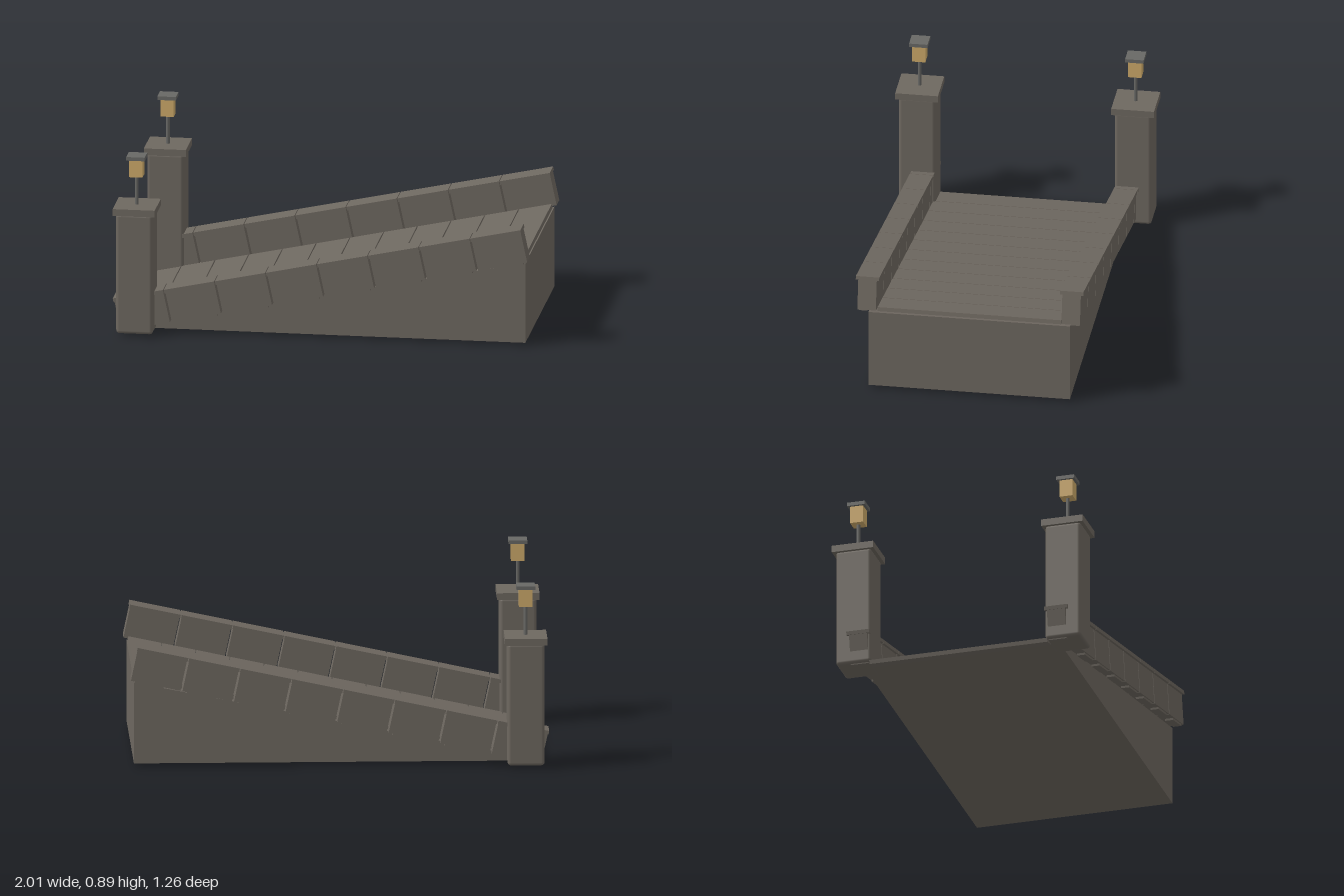
import * as THREE from 'three';
import { RoundedBoxGeometry } from 'three/addons/geometries/RoundedBoxGeometry.js';

export function createModel() {
  const model = new THREE.Group();
  model.name = 'stoneRamp';
  const material = (name, color) => {
    const m = new THREE.MeshStandardMaterial({ color });
    m.name = name;
    return m;
  };
  const stone = material('stone', 0x6e6860);
  const iron = material('iron', 0x686865);
  const glass = material('lanternGlass', 0xcdaa6a);

  const add = (parent, name, geometry, mat, x = 0, y = 0, z = 0) => {
    const mesh = new THREE.Mesh(geometry, mat);
    mesh.name = name;
    mesh.position.set(x, y, z);
    parent.add(mesh);
    return mesh;
  };
  const box = (w, h, d) => new THREE.BoxGeometry(w, h, d);

  // Solid wedge under the deck
  const profile = new THREE.Shape([
    new THREE.Vector2(-0.98, 0.014),
    new THREE.Vector2(0.984, 0.014),
    new THREE.Vector2(0.984, 0.412),
  ]);
  const wedge = new THREE.ExtrudeGeometry(profile, { depth: 0.98, bevelEnabled: false });
  add(model, 'base', wedge, stone, 0, 0, -0.49);

  // Everything that follows the slope
  const slope = new THREE.Group();
  slope.name = 'slope';
  slope.position.y = 0.217;
  slope.rotation.z = 0.211;
  model.add(slope);

  // Deck slabs
  const slabPitch = 0.1675;
  for (let i = 0; i < 12; i++) {
    add(slope, 'deckSlab', box(slabPitch - 0.006, 0.02, 0.892), stone, (i - 5.5) * slabPitch, 0.002);
  }

  // Parapets: blocks, coping stones and the ledges beneath
  const pitch = 0.2535;
  for (const side of [-1, 1]) {
    for (let i = 0; i < 8; i++) {
      const x = 0.014 + (i - 3.5) * pitch;
      const z = side * 0.496;
      add(slope, 'parapetBlock', box(pitch - 0.01, 0.15, 0.09), stone, x, 0.075, z);
      add(slope, 'parapetCoping', box(pitch - 0.004, 0.018, 0.114), stone, x, 0.158, z);
      if (i > 0) add(slope, 'parapetLedge', box(0.14, 0.012, 0.04), stone, x + 0.03, -0.004, side * 0.515);
    }
  }

  // Gate piers with lanterns at the low end
  for (const side of [-1, 1]) {
    const pier = new THREE.Group();
    pier.name = 'gatePier';
    pier.position.set(-0.898, 0, side * 0.525);
    model.add(pier);
    add(pier, 'pierShaft', new RoundedBoxGeometry(0.178, 0.6, 0.178, 2, 0.016), stone, 0, 0.313, 0);
    add(pier, 'pierCap', box(0.204, 0.034, 0.208), stone, 0, 0.624, 0);
    add(pier, 'lanternPole', new THREE.CylinderGeometry(0.009, 0.009, 0.15, 12), iron, 0, 0.712, 0);
    add(pier, 'lantern', box(0.065, 0.086, 0.065), glass, 0, 0.826, 0);
    add(pier, 'lanternCap', box(0.09, 0.018, 0.09), iron, 0, 0.878, 0);
  }
  return model;
}
